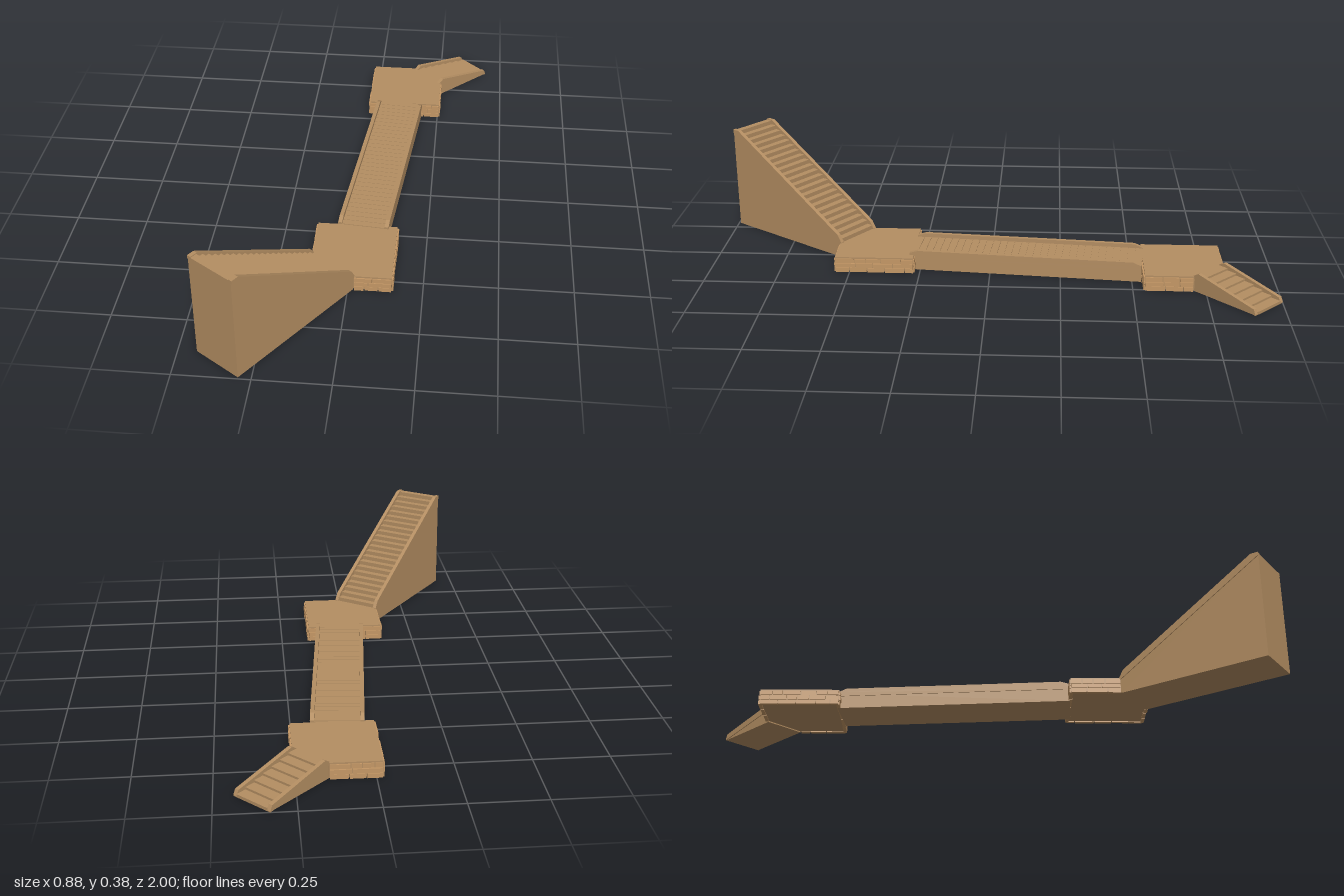
import * as THREE from 'three';

const sandstone = new THREE.MeshStandardMaterial({ color: 0xb48e62 });
sandstone.name = 'sandstone';
const brickStone = new THREE.MeshStandardMaterial({ color: 0xc49765 });
brickStone.name = 'warm brick';

// small seeded generator for uneven bricks
let seed = 7;
const rand = () => (seed = (seed * 16807) % 2147483647) / 2147483647;

function add(parent, name, geometry, material = sandstone) {
  const mesh = new THREE.Mesh(geometry, material);
  mesh.name = name;
  parent.add(mesh);
  return mesh;
}

// side profile (u along the run, y up) extruded across the width, centred on z = offset
function slab(points, width, offset = 0) {
  const shape = new THREE.Shape(points.map(([u, y]) => new THREE.Vector2(u, y)));
  const geo = new THREE.ExtrudeGeometry(shape, { depth: width, bevelEnabled: false });
  return geo.translate(0, 0, offset - width / 2);
}

// group whose +x axis points from (x0, z0) to (x1, z1)
function run(name, x0, z0, x1, z1) {
  const g = new THREE.Group();
  g.name = name;
  g.position.set(x0, 0, z0);
  g.rotation.y = Math.atan2(z0 - z1, x1 - x0);
  return g;
}

function addRails(g, profile, width) {
  for (const side of [-1, 1]) {
    add(g, side < 0 ? 'railA' : 'railB', slab(profile, 0.014, side * (width / 2 - 0.004)));
  }
}

// solid wedge, sawtooth steps and a raised rail on both sides
function stair(name, from, to, width, y0, y1, count, railProfile) {
  const g = run(name, ...from, ...to);
  const len = Math.hypot(to[0] - from[0], to[1] - from[1]);
  add(g, 'wedge', slab([[0, 0], [len, 0], [len, y1], [0, y0]], width));
  const pts = [[len, Math.max(0, y1 - 0.01)], [0, y0 - 0.01], [0, y0]];
  const rise = (y1 - y0) / count;
  const tread = len / count;
  for (let i = 0; i < count; i++) {
    const u = i * tread;
    const y = y0 + rise * i;
    if (rise > 0) pts.push([u, y + rise], [u + tread, y + rise]);
    else pts.push([u + tread, y], [u + tread, y + rise]);
  }
  add(g, 'steps', slab(pts.reverse(), width - 0.02));
  addRails(g, railProfile, width);
  return g;
}

// platform block with a top slab and uneven brick courses; skip = index of the plain edge
function platform(name, corners, skip) {
  const g = new THREE.Group();
  g.name = name;
  const shape = new THREE.Shape(corners.map(([x, z]) => new THREE.Vector2(x, -z)));
  const layer = (y, h) => new THREE.ExtrudeGeometry(shape, { depth: h, bevelEnabled: false })
    .rotateX(-Math.PI / 2).translate(0, y, 0);
  add(g, 'core', layer(0.004, 0.044));
  add(g, 'topSlab', layer(0.048, 0.008));
  corners.forEach(([x0, z0], i) => {
    if (i === skip) return;
    const [x1, z1] = corners[(i + 1) % corners.length];
    const len = Math.hypot(x1 - x0, z1 - z0);
    const wall = run('brickWall', x0, z0, x1, z1);
    for (let row = 0; row < 3; row++) {
      let u = 0;
      while (u < len - 0.005) {
        let w = 0.035 + rand() * 0.04;
        if (len - u - w < 0.025) w = len - u;
        const out = 0.003 + rand() * 0.003;
        const brick = add(wall, 'brick', new THREE.BoxGeometry(w - 0.003, 0.0155, 0.012), brickStone);
        brick.position.set(u + w / 2, 0.0082 + row * 0.0172, out - 0.006);
        u += w;
      }
    }
    g.add(wall);
  });
  return g;
}

export function createModel() {
  const model = new THREE.Group();
  model.name = 'stairBridge';

  // platforms, corners listed so the outside lies on the wall's local +z
  model.add(platform('frontPlatform',
    [[-0.13, 0.445], [0.02, 0.55], [0.147, 0.55], [0.147, 0.272], [-0.13, 0.272]], 0));
  model.add(platform('backPlatform',
    [[0.145, -0.818], [-0.02, -0.818], [-0.02, -0.54], [0.255, -0.54], [0.255, -0.707]], 4));

  // long bridge between the platforms
  const bridge = run('bridge', 0.0275, 0.28, 0.1, -0.54);
  const L = 0.823;
  const W = 0.172;
  add(bridge, 'deck', slab([[0, 0], [L, 0], [L, 0.056], [0, 0.056]], W));
  for (let i = 0; i < 32; i++) {
    const plank = add(bridge, 'plank', new THREE.BoxGeometry(L / 32 - 0.002, 0.003, W - 0.02));
    plank.position.set((i + 0.5) * L / 32, 0.0572, 0);
  }
  addRails(bridge, [[0, 0.045], [L, 0.045], [L, 0.06], [L - 0.03, 0.073], [0.03, 0.073], [0, 0.064]], W);
  model.add(bridge);

  // tall front stair and short back stair
  model.add(stair('tallStair', [-0.055, 0.4975], [-0.3655, 0.942], 0.18, 0.056, 0.38, 22,
    [[-0.004, 0.048], [0.542, 0.371], [0.542, 0.383], [0.515, 0.383], [0.012, 0.084], [-0.004, 0.058]]));
  model.add(stair('shortStair', [0.1975, -0.76], [0.3845, -0.947], 0.146, 0.056, 0.003, 7,
    [[-0.002, 0.048], [0.264, 0], [0.264, 0.004], [0.256, 0.021], [0.02, 0.069], [-0.002, 0.056]]));

  return model;
}
